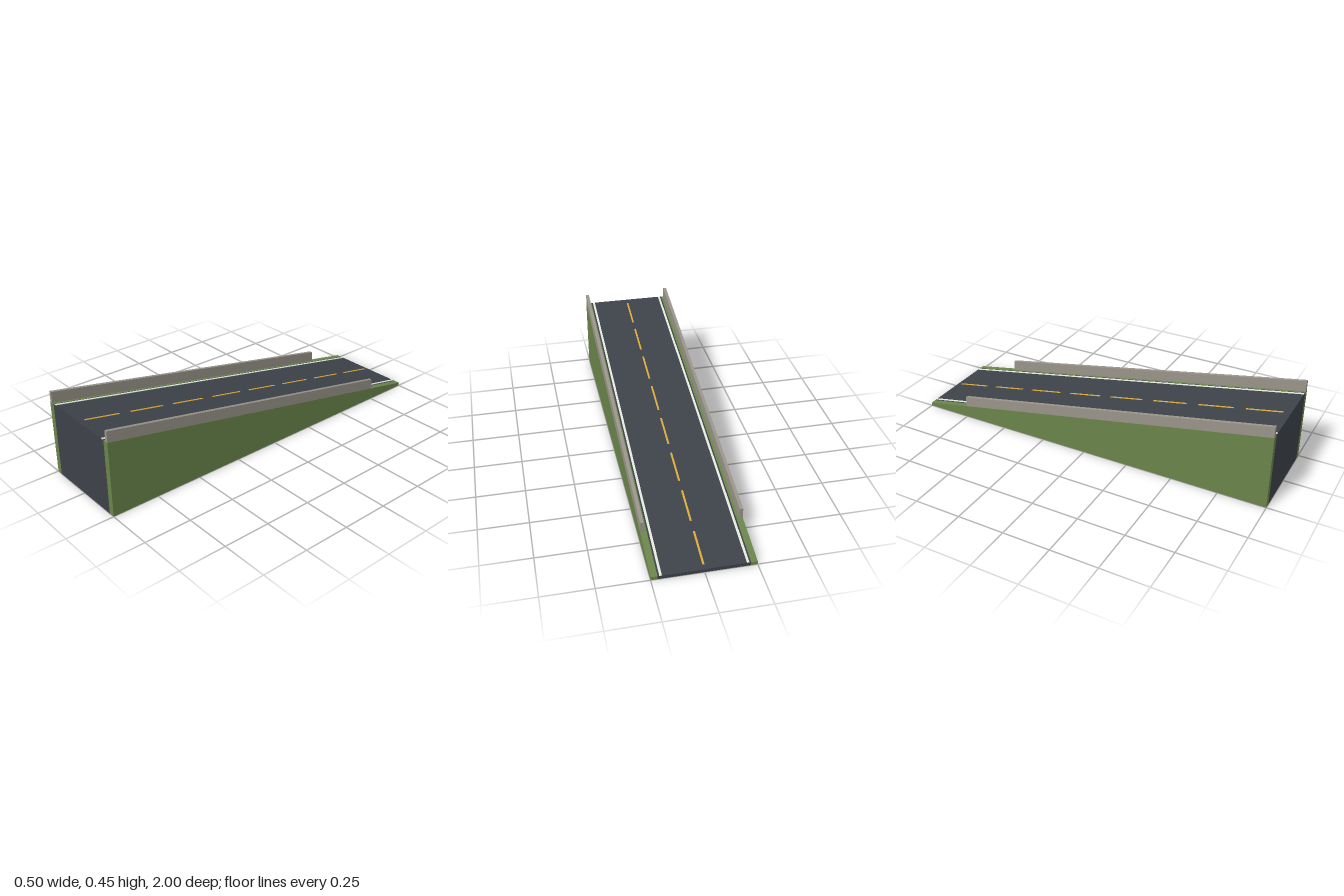
import * as THREE from 'three';

const ROAD = 0.218, EDGE = 0.25;            // half widths of roadway and whole ramp
const LOW = 0.018, HIGH = 0.395;            // deck height at the back and front
const deckY = z => LOW + (HIGH - LOW) * (z + 1) / 2;

const material = (name, color, side = THREE.FrontSide) => {
  const m = new THREE.MeshStandardMaterial({ color, side });
  m.name = name;
  return m;
};

// Open sheet made of four-cornered faces
function sheet(quads) {
  const pos = [];
  for (const [a, b, c, d] of quads) pos.push(...a, ...b, ...c, ...a, ...c, ...d);
  const g = new THREE.BufferGeometry();
  g.setAttribute('position', new THREE.Float32BufferAttribute(pos, 3));
  g.computeVertexNormals();
  return g;
}

// Solid strip between x0 and x1 whose side outline is given as [z, y] points
function prism(x0, x1, outline) {
  const shape = new THREE.Shape(outline.map(([z, y]) => new THREE.Vector2(z, y)));
  const g = new THREE.ExtrudeGeometry(shape, { depth: x1 - x0, bevelEnabled: false });
  return g.rotateY(-Math.PI / 2).translate(x1, 0, 0);
}

// Thin painted plate lying on the sloping deck
const paint = (x0, x1, z0, z1) => prism(x0, x1, [
  [z0, deckY(z0)], [z1, deckY(z1)], [z1, deckY(z1) + 0.002], [z0, deckY(z0) + 0.002],
]);

export function createModel() {
  const asphalt = material('asphalt', 0x3d4249, THREE.DoubleSide);
  const grass = material('grass green', 0x6a854a, THREE.DoubleSide);
  const concrete = material('concrete', 0x99948a);
  const white = material('white paint', 0xe6e6e0);
  const yellow = material('yellow paint', 0xd9a83a);

  const model = new THREE.Group();
  model.name = 'roadRamp';
  const add = (name, geometry, mat) => {
    const mesh = new THREE.Mesh(geometry, mat);
    mesh.name = name;
    model.add(mesh);
  };

  // Sloping roadway with its two end faces, open underneath
  const R = ROAD;
  add('roadway', sheet([
    [[-R, HIGH, 1], [R, HIGH, 1], [R, LOW, -1], [-R, LOW, -1]],
    [[-R, 0, 1], [R, 0, 1], [R, HIGH, 1], [-R, HIGH, 1]],
    [[R, 0, -1], [-R, 0, -1], [-R, LOW, -1], [R, LOW, -1]],
  ]), asphalt);

  for (const s of [1, -1]) {
    const side = s > 0 ? 'left' : 'right';
    const span = (a, b) => (s > 0 ? [a, b] : [-b, -a]);

    // Green embankment: verge on top, outer wall and both ends
    const i = s * ROAD, o = s * EDGE;
    const quads = [
      [[i, HIGH, 1], [o, HIGH, 1], [o, LOW, -1], [i, LOW, -1]],
      [[o, 0, 1], [o, 0, -1], [o, LOW, -1], [o, HIGH, 1]],
      [[i, 0, 1], [o, 0, 1], [o, HIGH, 1], [i, HIGH, 1]],
      [[o, 0, -1], [i, 0, -1], [i, LOW, -1], [o, LOW, -1]],
    ];
    add(side + 'Embankment', sheet(s > 0 ? quads : quads.map(q => q.reverse())), grass);

    // Concrete parapet wall reaching down to the ground inside the embankment
    const end = -0.75, rise = 0.057;
    add(side + 'Parapet', prism(...span(0.232, 0.249), [
      [end, 0], [0.999, 0], [0.999, HIGH + rise], [end, deckY(end) + rise],
    ]), concrete);

    // White edge line
    add(side + 'EdgeLine', paint(...span(0.198, 0.21), -1, 1), white);
  }

  // Dashed centre line
  for (let k = 0; k < 8; k++) {
    const z = -0.975 + 0.25 * k;
    add('centreDash', paint(-0.005, 0.005, z, z + 0.1875), yellow);
  }
  return model;
}
